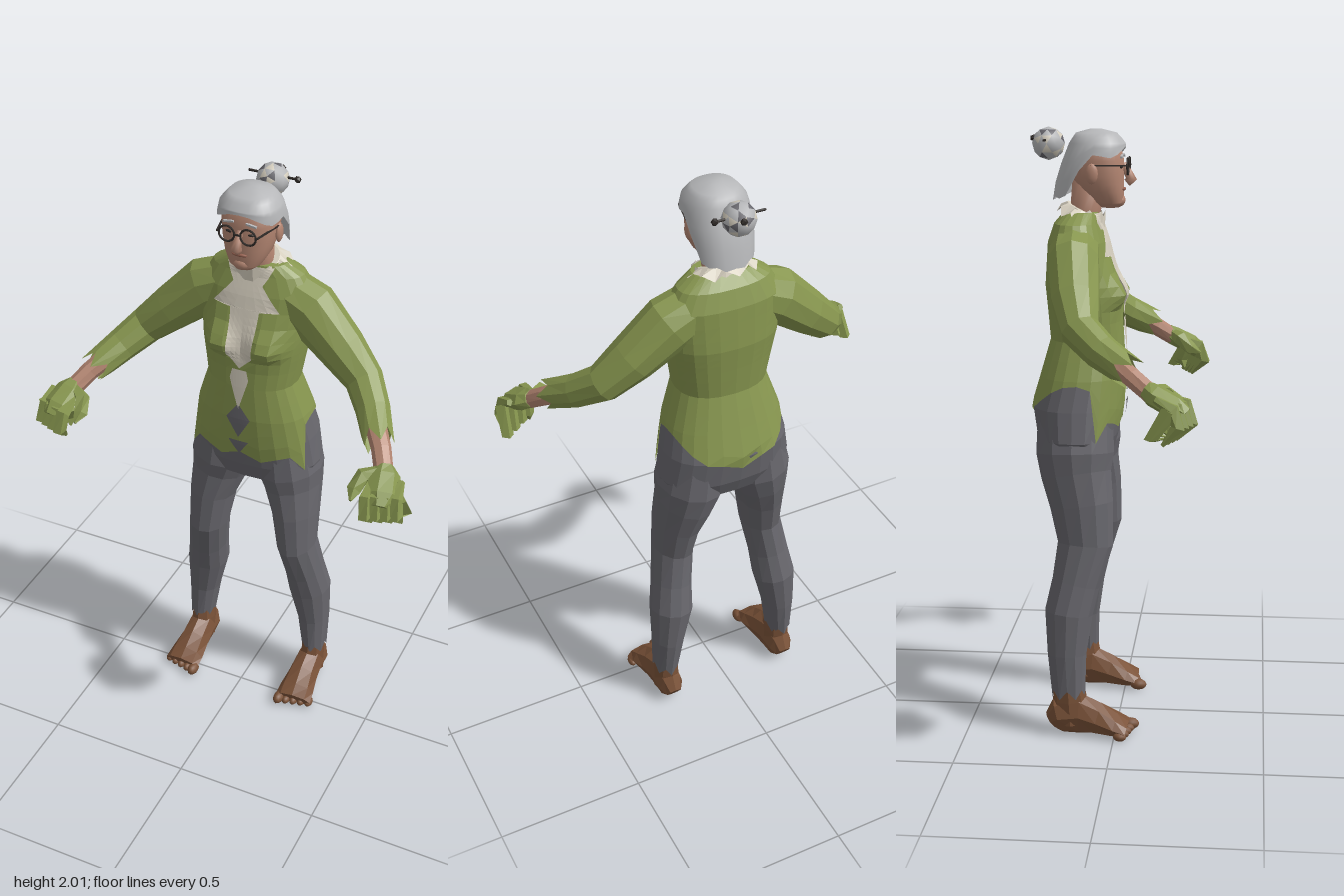
import * as THREE from 'three';

const mat = (name, color, side = THREE.FrontSide) => {
  const m = new THREE.MeshStandardMaterial({ color, side });
  m.name = name;
  return m;
};
const V = (x, y, z) => new THREE.Vector3(x, y, z);

// Skin a list of point rings; flat facets or smooth normals
function skin(rings, { smooth = false, start = true, end = true } = {}) {
  const n = rings[0].length, pos = [], idx = [];
  rings.forEach(r => r.forEach(p => pos.push(p.x, p.y, p.z)));
  for (let i = 0; i < rings.length - 1; i++) for (let j = 0; j < n; j++) {
    const a = i * n + j, b = i * n + (j + 1) % n;
    idx.push(a, b, b + n, a, b + n, a + n);
  }
  const cap = (ring, base, flip) => {
    const c = ring.reduce((s, p) => s.add(p), V(0, 0, 0)).divideScalar(n), k = pos.length / 3;
    pos.push(c.x, c.y, c.z);
    for (let j = 0; j < n; j++) {
      const a = base + j, b = base + (j + 1) % n;
      idx.push(...(flip ? [b, a, k] : [a, b, k]));
    }
  };
  if (start) cap(rings[0], 0, true);
  if (end) cap(rings[rings.length - 1], (rings.length - 1) * n, false);
  let g = new THREE.BufferGeometry();
  g.setAttribute('position', new THREE.Float32BufferAttribute(pos, 3));
  g.setIndex(idx);
  if (!smooth) g = g.toNonIndexed();
  g.computeVertexNormals();
  return g;
}

// Limb along rows [x, y, z, radiusU, radiusV]; spike makes a jagged open end
function limb(rows, { n = 8, s = 1, ref = V(0, 0, 1), spike = 0, smooth = false } = {}) {
  const c = rows.map(r => V(s * r[0], r[1], r[2])), last = rows.length - 1;
  const rings = rows.map((r, i) => {
    const t = c[Math.min(i + 1, last)].clone().sub(c[Math.max(i - 1, 0)]).normalize();
    const u = ref.clone().cross(t).normalize(), v = t.clone().cross(u);
    return Array.from({ length: n }, (_, j) => {
      const a = j / n * Math.PI * 2, p = c[i].clone();
      p.addScaledVector(u, Math.cos(a) * r[3]).addScaledVector(v, Math.sin(a) * (r[4] ?? r[3]));
      return i === last && j % 2 ? p.addScaledVector(t, spike) : p;
    });
  });
  return skin(rings, { smooth, end: !spike });
}

// Interpolated body section [y, halfWidth, zFront, zBack], listed upward
function section(S, y) {
  let i = 0;
  while (i < S.length - 2 && y > S[i + 1][0]) i++;
  const k = THREE.MathUtils.clamp((y - S[i][0]) / (S[i + 1][0] - S[i][0]), 0, 1);
  const [, rx, f, b] = S[i].map((v, q) => v + (S[i + 1][q] - v) * k);
  return { rx, cz: (f + b) / 2, rz: (f - b) / 2 };
}
const POW = 0.85;
const sp = v => Math.sign(v) * Math.abs(v) ** POW;

// Upright shell; hem gives the lower edge from front centre round to back centre
function shell(S, ys, hem, { bump = () => 0, inset = 0, smooth = false } = {}) {
  const n = 24, rings = [];
  const point = (j, y) => {
    const a = j / n * Math.PI * 2, q = section(S, y), x = (q.rx - inset) * sp(Math.sin(a));
    return V(x, y, q.cz + (q.rz - inset) * sp(Math.cos(a)) + (Math.cos(a) > 0.05 ? bump(x, y) : 0));
  };
  const ring = f => rings.push(Array.from({ length: n }, (_, j) => point(j, f(hem[Math.min(j, n - j)]))));
  [0, 0.33, 0.66].forEach(k => ring(h => h + (ys[0] - h) * k));
  ys.forEach(y => ring(() => y));
  return skin(rings, { smooth, start: false });
}

const TORSO = [[0.93, 0.2, -0.02, -0.25], [1, 0.235, 0, -0.28], [1.1, 0.218, 0.015, -0.295], [1.2, 0.195, 0.018, -0.265],
  [1.32, 0.155, 0.012, -0.23], [1.42, 0.172, 0.005, -0.238], [1.5, 0.185, -0.01, -0.245], [1.64, 0.195, -0.045, -0.235],
  [1.7, 0.155, -0.065, -0.215], [1.735, 0.1, -0.07, -0.185]];
const HEAD = [[1.748, 0.03, -0.005, -0.06], [1.765, 0.052, 0.01, -0.09], [1.8, 0.072, 0.012, -0.13], [1.85, 0.085, 0.012, -0.16],
  [1.9, 0.09, 0.012, -0.17], [1.95, 0.085, 0, -0.165], [1.98, 0.05, -0.04, -0.13]];
const HAIR = [[1.77, 0.098, -0.005, -0.222], [1.82, 0.105, 0.005, -0.215], [1.87, 0.107, 0.018, -0.2], [1.92, 0.105, 0.022, -0.183],
  [1.96, 0.095, 0.016, -0.165], [1.988, 0.068, -0.012, -0.145], [2, 0.025, -0.06, -0.1]];
const bust = (x, y) => {
  const dy = (y - 1.465) / (y > 1.465 ? 0.06 : 0.03), dx = (Math.abs(x) - 0.085) / 0.05;
  return 0.045 * Math.exp(-dx * dx - dy * dy);
};
const frontZ = (x, y) => {
  const q = section(TORSO, y), k = Math.min(1, Math.abs(x) / q.rx) ** (1 / POW);
  return q.cz + q.rz * sp(Math.sqrt(1 - k * k)) + bust(x, y);
};

// Thin patch lying on the chest, rows [y, halfWidth] from the top down
function patch(rows) {
  const fine = [], pos = [], idx = [], m = 6;
  rows.forEach(([y, w], i) => {
    const [y2, w2] = rows[i + 1] ?? [y, w];
    for (let k = 0; k < (rows[i + 1] ? 4 : 1); k++) fine.push([y + (y2 - y) * k / 4, w + (w2 - w) * k / 4]);
  });
  fine.forEach(([y, w], i) => {
    for (let j = 0; j <= m; j++) {
      const x = w * (2 * j / m - 1), a = i * (m + 1) + j, b = a + m + 1;
      pos.push(x, y, frontZ(x, y) + 0.008);
      if (j < m && i < fine.length - 1) idx.push(a, b, b + 1, a, b + 1, a + 1);
    }
  });
  const g = new THREE.BufferGeometry();
  g.setAttribute('position', new THREE.Float32BufferAttribute(pos, 3));
  g.setIndex(idx);
  const flat = g.toNonIndexed();
  flat.computeVertexNormals();
  return flat;
}

export function createModel() {
  const model = new THREE.Group(), D = THREE.DoubleSide;
  const green = mat('leafGreen', 0x87964f, D), grey = mat('trouserGrey', 0x68676d, D), cream = mat('cream', 0xd6cfbf, D);
  const flesh = mat('skin', 0xb48672), silver = mat('silverHair', 0xb6b7b9, D), brown = mat('footBrown', 0x7a5238);
  const dark = mat('darkFrame', 0x302b28), lip = mat('lip', 0x94604f);
  const add = (name, geo, m, p = [0, 0, 0], scale = [1, 1, 1]) => {
    const mesh = new THREE.Mesh(geo, m);
    mesh.name = name;
    mesh.position.set(...p);
    mesh.scale.set(...scale);
    model.add(mesh);
    return mesh;
  };

  // Blouse with ragged hem, hips beneath, and front trim
  add('blouse', shell(TORSO, [1.2, 1.26, 1.32, 1.38, 1.42, 1.445, 1.47, 1.5, 1.54, 1.59, 1.64, 1.7, 1.735],
    [1.06, 1.03, 1.05, 1.06, 1, 1.17, 1.185, 1.18, 1.16, 1.13, 1.1, 1.09, 1.06], { bump: bust }), green);
  add('hips', shell(TORSO, [1, 1.1, 1.2], Array(13).fill(0.94), { inset: 0.005 }), grey);
  add('jabot', patch([[1.733, 0.08], [1.7, 0.065], [1.675, 0.05], [1.597, 0.115], [1.592, 0.05], [1.5, 0.045], [1.44, 0.045], [1.395, 0]]), cream);
  add('jabotTail', patch([[1.39, 0.025], [1.355, 0.033], [1.24, 0]]), cream);
  add('blouseOpening', patch([[1.262, 0], [1.205, 0.042], [1.13, 0]]), grey);
  add('lowerOpening', patch([[1.115, 0.036], [1.06, 0]]), grey);
  add('standingCollar', limb([[0, 1.69, -0.125, 0.1, 0.075], [0, 1.73, -0.118, 0.082, 0.066]], { n: 18, spike: 0.018 }), cream);
  add('collarRuffle', limb([[0, 1.742, -0.12, 0.075, 0.06], [0, 1.725, -0.128, 0.118, 0.078]], { n: 18, spike: 0.025 }), cream);

  // Head and neck
  add('neck', limb([[0, 1.68, -0.13, 0.07, 0.06], [0, 1.74, -0.115, 0.058, 0.05], [0, 1.83, -0.1, 0.06, 0.058]], { n: 14, smooth: true }), flesh);
  add('head', shell(HEAD, [1.765, 1.8, 1.825, 1.85, 1.9, 1.95, 1.98], Array(13).fill(1.748), { smooth: true }), flesh);
  add('chin', new THREE.SphereGeometry(0.03, 12, 8), flesh, [0, 1.772, -0.01], [1.1, 0.8, 0.9]);
  add('nose', limb([[0, 1.89, 0.008, 0.01], [0, 1.86, 0.025, 0.014], [0, 1.84, 0.036, 0.019, 0.018], [0, 1.828, 0.022, 0.014]], { smooth: true }), flesh);
  add('mouth', new THREE.SphereGeometry(0.03, 12, 6), lip, [0, 1.808, 0.01], [0.9, 0.2, 0.28]);
  add('hair', shell(HAIR, [1.955, 1.975, 1.988, 2],
    [1.945, 1.942, 1.932, 1.92, 1.91, 1.915, 1.92, 1.87, 1.79, 1.78, 1.785, 1.77, 1.775], { smooth: true }), silver);

  // Patchwork bun and hairpin
  const bunGeo = new THREE.IcosahedronGeometry(0.054, 1);
  for (let i = 0; i < 80; i++) bunGeo.addGroup(i * 3, 3, (i * 7 + (i >> 2)) % 3 ? 0 : (i % 2 ? 1 : 2));
  add('hairBun', bunGeo, [silver, cream, grey], [0, 1.953, -0.235]);
  add('hairPin', new THREE.CylinderGeometry(0.004, 0.004, 0.17, 6), dark, [0, 1.965, -0.24]).rotation.z = Math.PI / 2;
  add('pinBead', new THREE.IcosahedronGeometry(0.012, 0), dark, [0.082, 1.965, -0.24]);
  add('bunPin', new THREE.IcosahedronGeometry(0.012, 0), dark, [0.01, 1.97, -0.285]);

  // Spectacles bridge
  add('glassesBridge', new THREE.BoxGeometry(0.02, 0.005, 0.005), dark, [0, 1.886, 0.032]);

  for (const s of [1, -1]) {
    const side = s > 0 ? 'left' : 'right';
    // Face details
    add(side + 'Lens', new THREE.TorusGeometry(0.026, 0.0035, 6, 20), dark, [s * 0.036, 1.882, 0.027]);
    add(side + 'Temple', new THREE.BoxGeometry(0.005, 0.005, 0.12), dark, [s * 0.08, 1.886, -0.03]).rotation.y = -s * 0.22;
    add(side + 'Eye', new THREE.SphereGeometry(0.01, 10, 6), dark, [s * 0.036, 1.88, 0.005], [1.3, 0.5, 0.6]);
    add(side + 'Brow', new THREE.BoxGeometry(0.036, 0.006, 0.008), silver, [s * 0.038, 1.914, 0.008]).rotation.z = -s * 0.15;
    add(side + 'Ear', new THREE.SphereGeometry(0.03, 10, 8), flesh, [s * 0.09, 1.86, -0.085], [0.35, 1.1, 0.7]);

    // Sleeve, bare wrist and leafy glove
    add(side + 'Sleeve', limb([[0.09, 1.63, -0.14, 0.08], [0.18, 1.585, -0.135, 0.095, 0.085], [0.3, 1.48, -0.115, 0.078],
      [0.39, 1.4, -0.09, 0.063], [0.45, 1.345, -0.02, 0.056], [0.49, 1.308, 0.045, 0.05]], { s, n: 10, spike: 0.05 }), green);
    add(side + 'Forearm', limb([[0.46, 1.335, 0, 0.035], [0.52, 1.28, 0.08, 0.032], [0.56, 1.23, 0.15, 0.03]], { s }), flesh);
    add(side + 'Palm', limb([[0.55, 1.25, 0.125, 0.03], [0.56, 1.235, 0.15, 0.05, 0.035], [0.575, 1.205, 0.21, 0.055, 0.035],
      [0.58, 1.18, 0.24, 0.03]], { s, n: 7, ref: V(0, 1, 0) }), green);
    for (let i = 0; i < 4; i++) {
      const x = 0.53 + 0.029 * i, z = -0.012 * i;
      add(side + 'Finger', limb([[x, 1.235, 0.155, 0.012], [x + 0.004, 1.205, 0.245 + z, 0.022], [x + 0.012, 1.15, 0.262 + z, 0.024],
        [x + 0.018, 1.098, 0.215 + z, 0.006]], { s, n: 5, ref: V(1, 0, 0) }), green);
      add(side + 'GloveLeaf', limb([[x + 0.01, 1.2, 0.2, 0.026], [x + 0.02, 1.15 - 0.012 * i, 0.18 + z, 0.02],
        [x + 0.012, 1.12, 0.19, 0.004]], { s, n: 4, ref: V(1, 0, 0) }), green);
    }
    add(side + 'Thumb', limb([[0.545, 1.25, 0.145, 0.015], [0.5, 1.235, 0.175, 0.026], [0.485, 1.2, 0.215, 0.024], [0.488, 1.185, 0.25, 0.005]],
      { s, n: 5, ref: V(0, 1, 0) }), green);

    // Trouser leg
    add(side + 'TrouserLeg', limb([[0.228, 0.16, -0.155, 0.042, 0.055], [0.22, 0.28, -0.16, 0.056, 0.065], [0.203, 0.42, -0.155, 0.074, 0.08],
      [0.19, 0.52, -0.132, 0.068, 0.08], [0.17, 0.65, -0.102, 0.067, 0.092], [0.158, 0.78, -0.115, 0.079, 0.105], [0.138, 0.88, -0.135, 0.098, 0.117],
      [0.122, 0.95, -0.14, 0.114, 0.13], [0.11, 1.06, -0.14, 0.1, 0.125]].reverse(), { s, n: 12, spike: 0.03 }), grey);

    // Bare foot
    add(side + 'Ankle', limb([[0.226, 0.19, -0.155, 0.038, 0.05], [0.225, 0.12, -0.15, 0.043, 0.058], [0.225, 0.04, -0.145, 0.045, 0.06]], { s }), brown);
    add(side + 'Foot', limb([[0.225, 0.045, -0.215, 0.028, 0.03], [0.225, 0.062, -0.19, 0.045, 0.062], [0.224, 0.072, -0.12, 0.05, 0.072],
      [0.224, 0.056, -0.06, 0.055, 0.056], [0.226, 0.038, 0, 0.064, 0.038], [0.228, 0.026, 0.042, 0.066, 0.024]],
      { s, n: 8, ref: V(0, 1, 0) }), brown);
    for (let i = 0; i < 5; i++) {
      const r = i ? 0.015 : 0.02;
      add(side + 'Toe', new THREE.IcosahedronGeometry(r, 1), brown, [s * (0.176 + 0.027 * i), r, 0.05 - 0.007 * i], [0.95, 1, 1.5]);
    }
  }
  return model;
}
